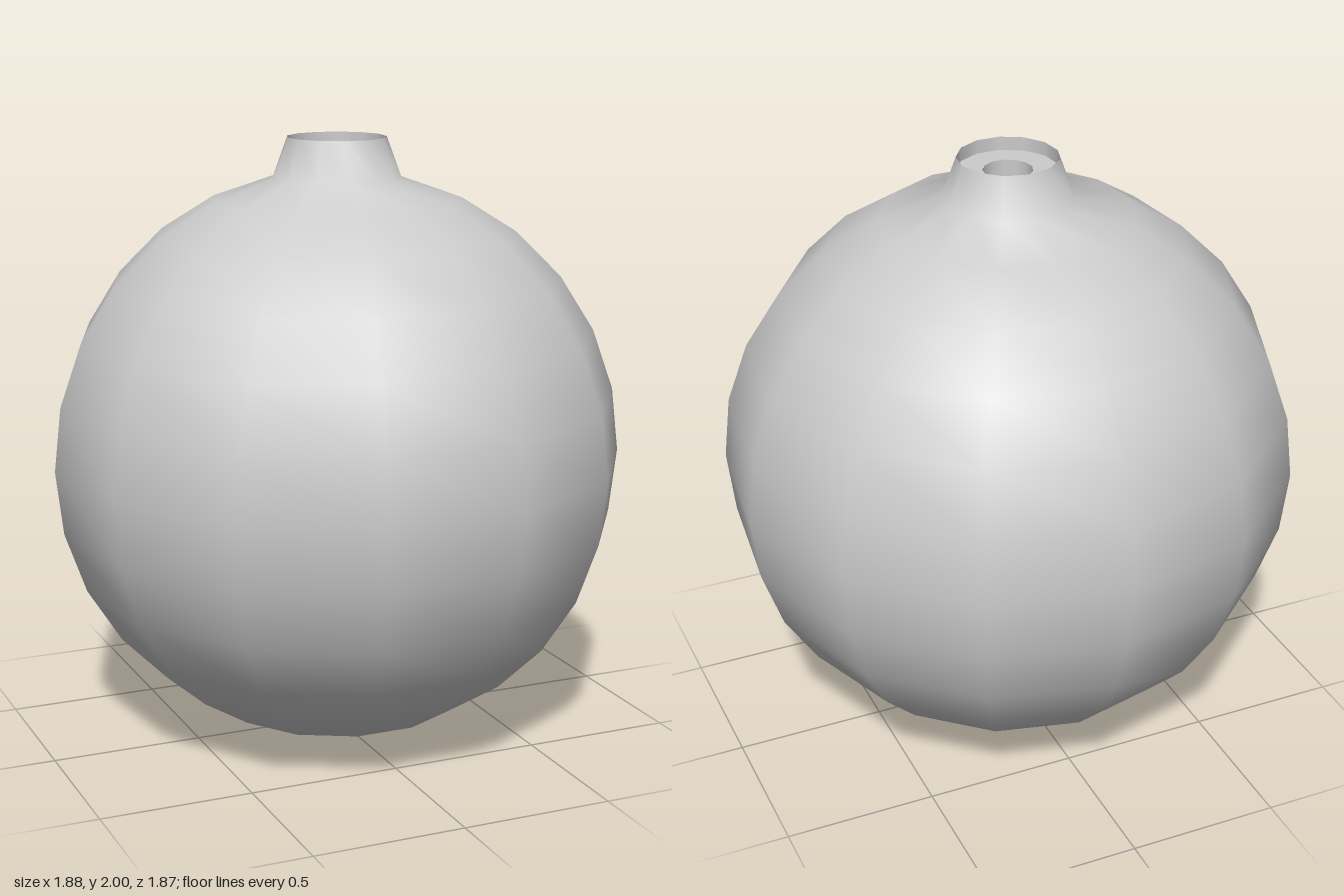
import * as THREE from 'three';

const SIDES = 13;
const RADIUS = 0.947;
const RINGS = 14;

export function createModel() {
  const model = new THREE.Group();
  model.name = 'roundFlask';
  const material = new THREE.MeshStandardMaterial({ color: 0xcccccc });

  // Every part is turned round the same axis, with a corner pointing straight back.
  // Profiles run up the outside and then down the inside.
  const addTurned = (name, points) => {
    const profile = points.map(([r, y]) => new THREE.Vector2(r, y));
    const mesh = new THREE.Mesh(new THREE.LatheGeometry(profile, SIDES, Math.PI), material);
    mesh.name = name;
    mesh.position.z = 0.014; // centres the odd-sided outline
    model.add(mesh);
  };

  // Globe with its top cap drawn up into a short tapered neck
  const body = [];
  for (let i = 0; i < RINGS; i++) {
    const a = (i / RINGS) * Math.PI;
    body.push([RADIUS * Math.sin(a), RADIUS * (1 - Math.cos(a))]);
  }
  body.push([0.163, 2]);
  addTurned('bodyAndNeck', body);

  // Recessed mouth with a small hole in its floor
  addTurned('rimInside', [[0.163, 2], [0.163, 1.955]]);
  addTurned('mouthFloor', [[0.163, 1.955], [0.08, 1.955]]);
  addTurned('holeWall', [[0.08, 1.955], [0.08, 1.84]]);
  addTurned('holeBottom', [[0.08, 1.84], [0, 1.84]]);

  return model;
}
